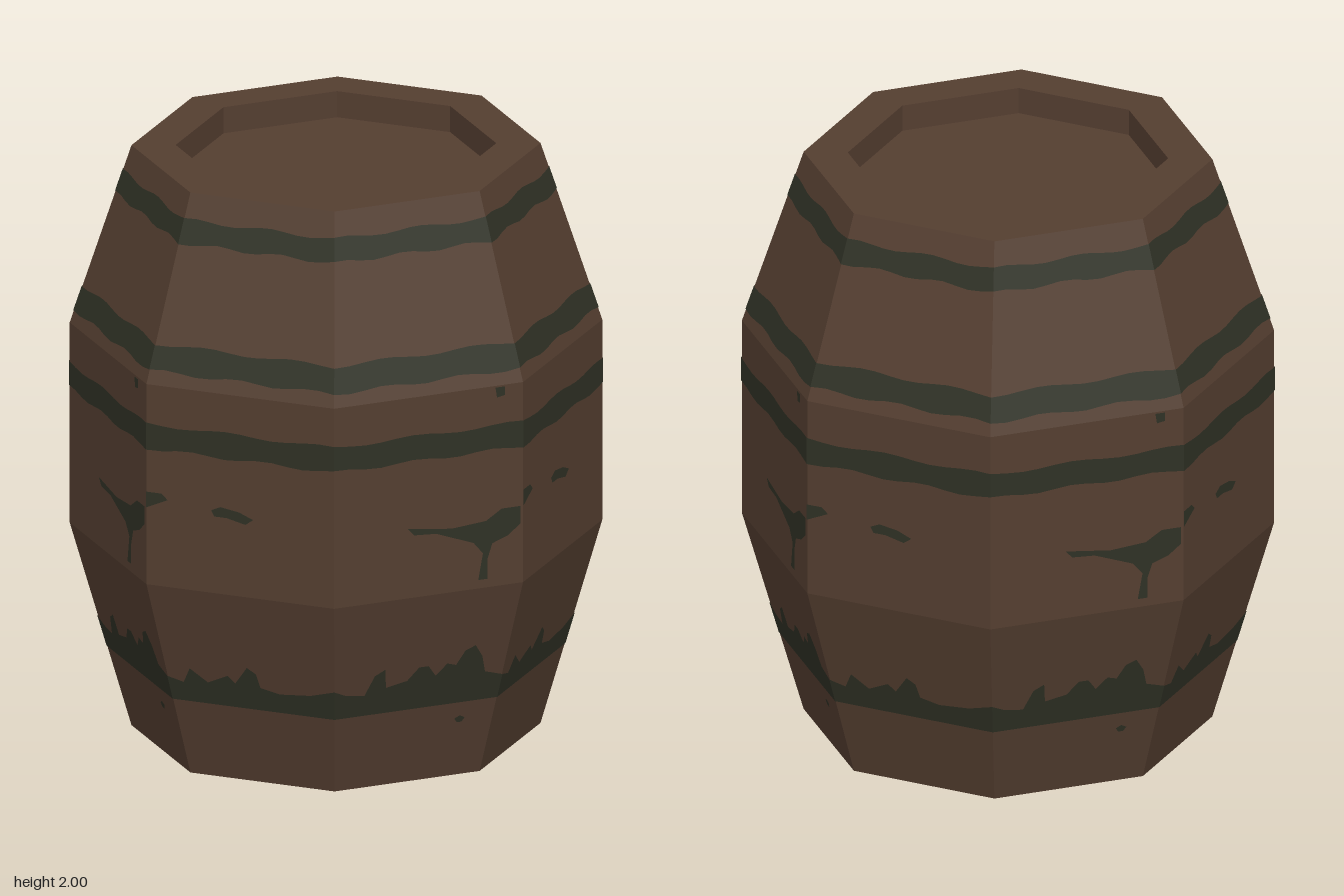
import * as THREE from 'three';

const RX = 0.857, RZ = 0.877;         // slightly oval octagon
const BELLY_LOW = 0.7, BELLY_HIGH = 1.39, END = 0.768, RECESS = 0.602, DEPTH = 0.09;
const C = Math.SQRT1_2;

// Wall radius (1 = belly) at a height
function wallRadius(y) {
  if (y < BELLY_LOW) return END + (1 - END) * y / BELLY_LOW;
  if (y > BELLY_HIGH) return 1 - (1 - END) * (y - BELLY_HIGH) / (2 - BELLY_HIGH);
  return 1;
}

// Flat outline bent onto the octagon; s runs -1..1 across two faces of one quarter
function wallMark(points, quarter, radiusAt) {
  const geo = new THREE.ShapeGeometry(new THREE.Shape(points.map(([s, y]) => new THREE.Vector2(s, y))));
  const p = geo.attributes.position;
  const a = quarter * Math.PI / 2;
  for (let i = 0; i < p.count; i++) {
    const s = p.getX(i), y = p.getY(i), r = radiusAt(y);
    const x = s * C * r, z = (1 - Math.abs(s) * (1 - C)) * r;
    p.setXYZ(i, (x * Math.cos(a) + z * Math.sin(a)) * RX, y, (z * Math.cos(a) - x * Math.sin(a)) * RZ);
  }
  geo.computeVertexNormals();
  return geo;
}

// Points measured as x, y on the front become s, y
const toFace = (pts) => pts.map(([x, y]) =>
  [THREE.MathUtils.clamp(x / (C * RX * wallRadius(y)), -1, 1), y]);

// Hoop strip with slightly uneven edges over one face
function hoopOutline(side, low, high) {
  const top = [], bottom = [];
  for (let i = 0; i <= 12; i++) {
    const s = side + i / 12;
    bottom.push([s, low + 0.006 * Math.sin(s * Math.PI * 5 + low * 9)]);
    top.unshift([s, high + 0.006 * Math.sin(s * Math.PI * 4 + high * 7)]);
  }
  return bottom.concat(top);
}

// Ragged upper edge of the mossy lowest hoop
const mossLeft = [[-0.6, 0.38], [-0.5, 0.36], [-0.44, 0.35], [-0.42, 0.42], [-0.39, 0.44], [-0.375, 0.37],
  [-0.31, 0.385], [-0.28, 0.43], [-0.25, 0.43], [-0.22, 0.39], [-0.19, 0.43], [-0.16, 0.42],
  [-0.14, 0.47], [-0.11, 0.485], [-0.08, 0.44], [-0.06, 0.38], [0, 0.36]];
const mossRight = [[0, 0.36], [0.05, 0.345], [0.08, 0.4], [0.13, 0.355], [0.2, 0.39], [0.22, 0.365],
  [0.27, 0.43], [0.295, 0.41], [0.3, 0.36], [0.36, 0.345], [0.46, 0.355], [0.6, 0.38]];

const stains = [
  [[-0.37, 0.94], [-0.23, 0.92], [-0.12, 0.93], [-0.07, 0.965], [-0.01, 0.965], [-0.01, 0.905],
    [-0.05, 0.87], [-0.1, 0.85], [-0.115, 0.8], [-0.115, 0.73], [-0.145, 0.73], [-0.13, 0.82],
    [-0.16, 0.86], [-0.22, 0.885], [-0.28, 0.91], [-0.35, 0.915]],
  [[0, 1.02], [0.05, 1.02], [0.07, 1], [0.03, 0.98], [0, 0.965]],
  [[0.21, 0.985], [0.24, 1], [0.3, 0.99], [0.345, 0.97], [0.32, 0.95], [0.26, 0.965], [0.22, 0.965]],
  [[-0.09, 1.385], [-0.06, 1.385], [-0.06, 1.355], [-0.085, 1.35]],
  [[-0.125, 0.215], [-0.11, 0.225], [-0.092, 0.215], [-0.1, 0.2], [-0.115, 0.2]],
];

export function createModel() {
  const barrel = new THREE.Group();
  barrel.name = 'barrel';
  const wood = new THREE.MeshStandardMaterial({ color: 0x543e30 });
  wood.name = 'brown wood';
  const moss = new THREE.MeshStandardMaterial({ color: 0x2f3125, side: THREE.DoubleSide });
  moss.name = 'dark green';
  const add = (geo, mat, name) => {
    const mesh = new THREE.Mesh(geo, mat);
    mesh.name = name;
    barrel.add(mesh);
  };

  // Eight-sided body with a recessed lid and base
  const profile = [[0, DEPTH], [RECESS, DEPTH], [RECESS, 0], [END, 0], [1, BELLY_LOW], [1, BELLY_HIGH],
    [END, 2], [RECESS, 2], [RECESS, 2 - DEPTH], [0, 2 - DEPTH]].map(([r, y]) => new THREE.Vector2(r, y));
  const body = new THREE.LatheGeometry(profile, 8).toNonIndexed();
  body.scale(RX, 1, RZ);
  body.computeVertexNormals();
  add(body, wood, 'body');

  // Hoops and stains repeat on every quarter
  const outside = (y) => wallRadius(y) * 1.003;
  for (let q = 0; q < 4; q++) {
    for (const side of [-1, 0]) {
      for (const [low, high] of [[1.84, 1.915], [1.435, 1.52], [1.17, 1.255]])
        add(wallMark(hoopOutline(side, low, high), q, outside), moss, 'hoop');
    }
    add(wallMark(toFace([...mossLeft, [0, 0.275], [-0.6, 0.275]]), q, outside), moss, 'mossyHoop');
    add(wallMark(toFace([...mossRight, [0.6, 0.275], [0, 0.275]]), q, outside), moss, 'mossyHoop');
    for (const stain of stains) add(wallMark(toFace(stain), q, outside), moss, 'stain');
  }

  // Moss on the inner wall of the base recess
  const inside = () => RECESS * 0.996;
  for (const [a, b, q] of [[-1, 0, 0], [0, 1, 0], [-0.53, -0.3, 1], [-0.68, -0.6, 1], [-1, -0.8, 1]])
    add(wallMark([[a, 0.001], [b, 0.001], [b, DEPTH], [a, DEPTH]], q, inside), moss, 'baseWallMoss');

  // Moss patch on the base panel
  const patch = [[0.36, 0.37], [0, 0.52], [-0.36, 0.37], [-0.4, 0.27], [-0.33, 0.22], [-0.27, 0.28],
    [-0.2, 0.27], [-0.14, 0.35], [0, 0.39], [0.12, 0.42], [0.25, 0.4]];
  const patchGeo = new THREE.ShapeGeometry(new THREE.Shape(patch.map(([x, z]) => new THREE.Vector2(x, z))));
  patchGeo.rotateX(Math.PI / 2).translate(0, DEPTH - 0.003, 0);
  add(patchGeo, moss, 'basePanelMoss');

  return barrel;
}
